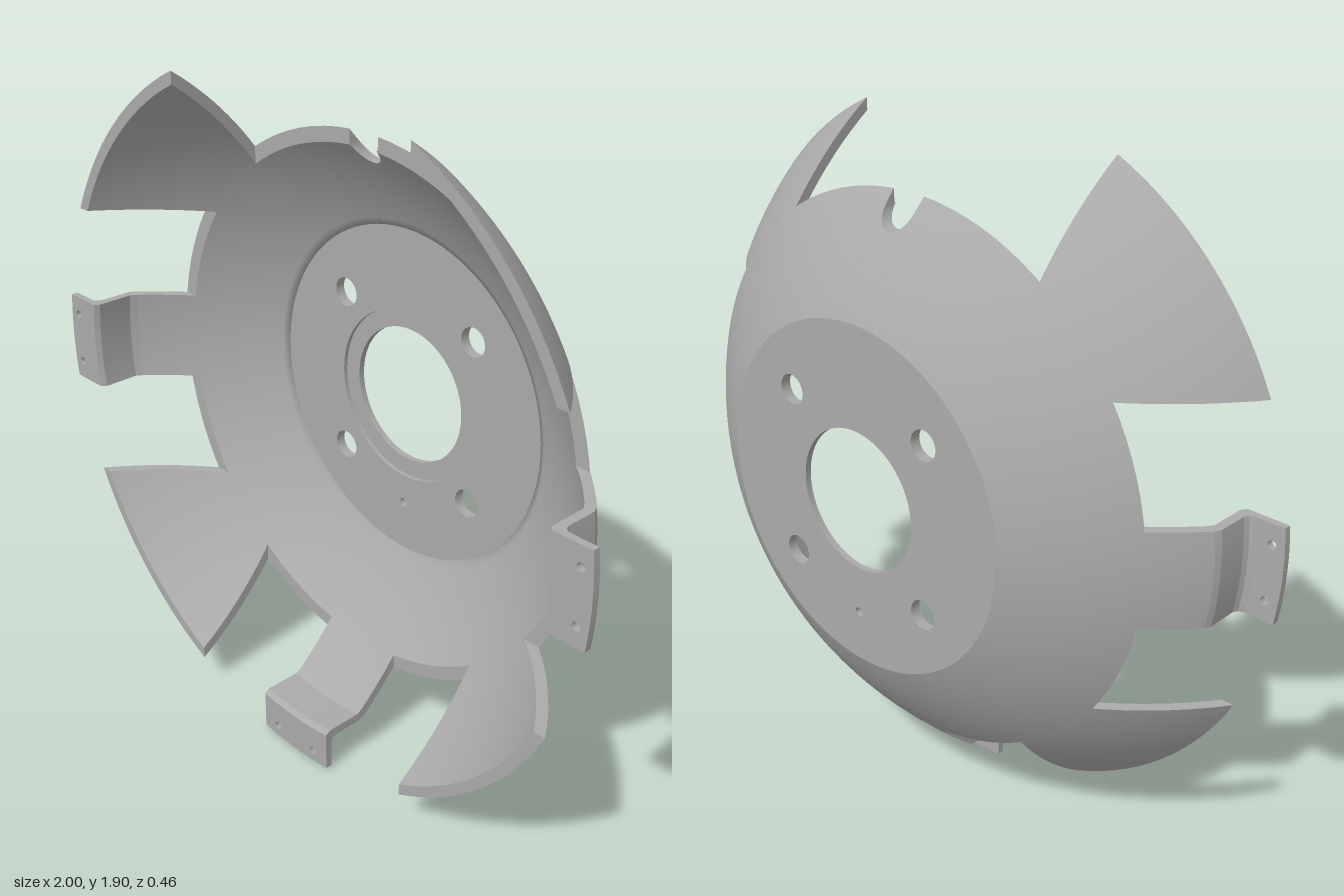
import * as THREE from 'three';
import { mergeGeometries } from 'three/addons/utils/BufferGeometryUtils.js';
import { ParametricGeometry } from 'three/addons/geometries/ParametricGeometry.js';

const ZC = 0.82;                 // z of the centre of both spheres
const R_OUT = 1.158, R_IN = 1.131;
const Z_BACK = -0.23, Z_RIM = -0.035, Z_FRONT = 0.23;
const R_PLATE = 0.489, NOTCH = 0.425, TAB = 0.133;

const lerp = THREE.MathUtils.lerp;
const sphereR = (w) => lerp(R_OUT, R_IN, w);
const radiusAt = (z, w) => Math.sqrt(sphereR(w) ** 2 - (z - ZC) ** 2);
const depthAt = (r, w) => ZC - Math.sqrt(sphereR(w) ** 2 - r * r);

// Six-sided curved slab: point(u, v, w), where w = 0 is outside and w = 1 inside
function slab(point, nu, nv) {
  const face = (map, a, b) => new ParametricGeometry((s, t, target) => {
    const [u, v, w] = map(s, t);
    target.set(...point(u, v, w));
  }, a, b);
  return mergeGeometries([
    face((s, t) => [s, t, 0], nu, nv), face((s, t) => [t, s, 1], nv, nu),
    face((s, t) => [0, s, t], nv, 1), face((s, t) => [1, t, s], 1, nv),
    face((s, t) => [t, 0, s], 1, nu), face((s, t) => [s, 1, t], nu, 1),
  ]);
}

const polar = (a, r, z) => [r * Math.cos(a), r * Math.sin(a), z];

// Slab between two profile stations of a tab, kept to the tab's width
function tabSlab(profile, nv) {
  return slab((u, v, w) => {
    const [r, z] = profile(v, w);
    const x = TAB * (1 - 2 * u);
    return [x, Math.sqrt(r * r - x * x), z];
  }, 10, nv);
}

function circleHole(x, y, r) {
  return new THREE.Path().absarc(x, y, r, 0, Math.PI * 2, true);
}

export function createModel() {
  const metal = new THREE.MeshStandardMaterial({ color: 0xaaaaaa, side: THREE.DoubleSide });
  metal.name = 'grey metal';
  const model = new THREE.Group();
  model.name = 'slottedBowl';
  const add = (parent, geometry, name) => {
    const mesh = new THREE.Mesh(geometry, metal);
    mesh.name = name;
    parent.add(mesh);
    return mesh;
  };

  // Flat back plate in two layers; the wider hole in front leaves a shallow recess
  [[0.2, Z_BACK, 0.018, 'backPlate'], [0.252, Z_BACK + 0.018, 0.012, 'backPlateFront']]
    .forEach(([bore, z, depth, name]) => {
      const disc = new THREE.Shape().absarc(0, 0, R_PLATE, 0, Math.PI * 2);
      disc.holes.push(circleHole(0, 0, bore), circleHole(0, -0.34, 0.013));
      for (const sx of [-1, 1]) for (const sy of [-1, 1]) {
        disc.holes.push(circleHole(sx * 0.242, sy * 0.242, 0.042));
      }
      const geometry = new THREE.ExtrudeGeometry(disc, { depth, bevelEnabled: false, curveSegments: 40 });
      add(model, geometry.translate(0, 0, z), name);
    });

  // Curved bowl wall, open at the top for the round notch
  const top = Math.PI / 2, half = 0.05 / 0.745;
  const wallPoint = (a, r, v, w) => {
    const rr = lerp(R_PLATE, r, v);
    return polar(a, rr, v === 0 && w === 1 ? Z_BACK + 0.03 : depthAt(rr, w));
  };
  add(model, slab((u, v, w) =>
    wallPoint(top + half + u * (Math.PI * 2 - 2 * half), radiusAt(Z_RIM, w), v, w), 100, 12), 'bowlWall');
  add(model, slab((u, v, w) => {
    const s = (u * 2 - 1) * Math.PI / 2;
    return wallPoint(top + half * Math.sin(s), 0.745 - 0.05 * Math.cos(s), v, w);
  }, 16, 10), 'bowlNotch');

  // Four corner petals between straight-sided slots
  const petal = slab((u, v, w) => {
    const r = lerp(radiusAt(Z_RIM, w), radiusAt(Z_FRONT, w), v);
    return polar(lerp(Math.asin(NOTCH / r), Math.acos(NOTCH / r), u), r, depthAt(r, w));
  }, 14, 10);
  for (let i = 0; i < 4; i++) add(model, petal, 'petal').rotation.z = i * Math.PI / 2;

  // Mounting tab: bowl-shaped arm, bent step, then a flange with two holes
  const armEnd = [0.893, 0.862];
  const arm = tabSlab((v, w) => {
    const r = lerp(radiusAt(Z_RIM, w), armEnd[w], v);
    return [r, depthAt(r, w)];
  }, 8);
  const stations = [
    armEnd.map((r, w) => [r, depthAt(r, w)]),
    [[0.9, 0.1], [0.875, 0.108]],
    [[0.9, 0.19], [0.875, 0.215]],
    [[0.906, 0.204], [0.885, 0.23]],
    [[0.92, 0.21], [0.92, 0.23]],
  ];
  const bends = stations.slice(1).map((next, i) => tabSlab((v, w) =>
    [0, 1].map((k) => lerp(stations[i][Math.round(w)][k], next[Math.round(w)][k], v)), 1));
  // Side faces span both skins, so each bend is a single step in w
  const step = mergeGeometries([arm, ...bends]);

  const a0 = Math.asin(TAB / 0.92), a1 = Math.asin(TAB);
  const plate = new THREE.Shape();
  plate.absarc(0, 0, 1, top - a1, top + a1);
  plate.absarc(0, 0, 0.92, top + a0, top - a0, true);
  plate.holes.push(circleHole(-0.077, 0.962, 0.012), circleHole(0.077, 0.962, 0.012));
  const flange = new THREE.ExtrudeGeometry(plate, { depth: 0.02, bevelEnabled: false, curveSegments: 14 });
  flange.translate(0, 0, 0.21);

  [['leftTab', -top], ['rightTab', top], ['bottomTab', Math.PI]].forEach(([name, angle]) => {
    const tab = new THREE.Group();
    tab.name = name;
    add(tab, step, 'tabArm');
    add(tab, flange, 'tabFlange');
    tab.rotation.z = angle;
    model.add(tab);
  });

  model.position.y = 1;
  const root = new THREE.Group();
  root.name = 'model';
  root.add(model);
  return root;
}
